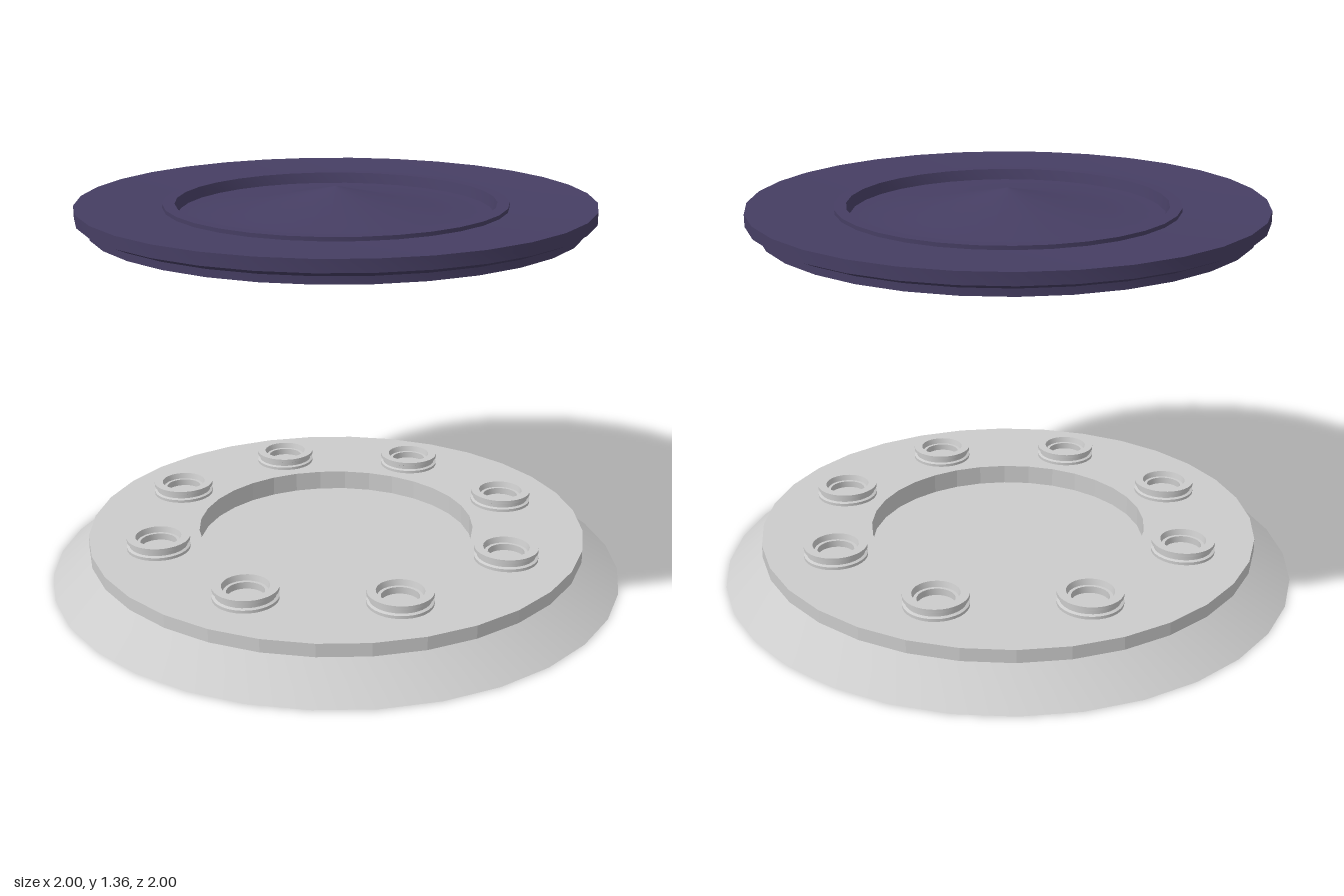
import * as THREE from 'three';
import { toCreasedNormals } from 'three/addons/utils/BufferGeometryUtils.js';

const grey = new THREE.MeshStandardMaterial({ color: 0xcccccc });
const purple = new THREE.MeshStandardMaterial({ color: 0x463e63 });
const green = new THREE.MeshStandardMaterial({ color: 0x667b6b });

// Turned part: profile of [radius, y] running outwards, up, then inwards.
function turned(name, profile, sides, material, crease = 0.15) {
  const points = profile.map(([r, y]) => new THREE.Vector2(r, y));
  const geometry = toCreasedNormals(new THREE.LatheGeometry(points, sides), crease);
  const mesh = new THREE.Mesh(geometry, material);
  mesh.name = name;
  return mesh;
}

export function createModel() {
  const model = new THREE.Group();
  model.name = 'platformWithFloatingLid';

  // Faceted base: sloping skirt, upright rim and raised deck around a sunken floor
  model.add(turned('base', [
    [0, 0], [1, 0], [0.87, 0.1], [0.87, 0.145],
    [0.485, 0.145], [0.485, 0.075], [0, 0.075],
  ], 32, grey));

  // Eight spool-shaped sockets around the deck
  const socketProfile = [
    [0.108, 0.145], [0.108, 0.155], [0.099, 0.159], [0.099, 0.172],
    [0.108, 0.176], [0.108, 0.188], [0.078, 0.188],
    [0.073, 0.168], [0.062, 0.168], [0.062, 0.145],
  ];
  const sockets = new THREE.Group();
  sockets.name = 'sockets';
  for (let i = 0; i < 8; i++) {
    const angle = (i * Math.PI) / 4;
    const socket = turned('socket', socketProfile, 32, grey, 0.5);
    socket.position.set(0.64 * Math.sin(angle), 0, 0.64 * Math.cos(angle));
    sockets.add(socket);
  }
  model.add(sockets);

  // Floating lid: lower lip, chamfered edge, dished top, raised ring and central cone
  const lid = new THREE.Group();
  lid.name = 'lid';
  lid.add(turned('lidShell', [
    [0, 1.25], [0.805, 1.25], [0.805, 1.228], [0.815, 1.228], [0.815, 1.252],
    [0.855, 1.27], [0.855, 1.31], [0.69, 1.3], [0.57, 1.295],
    [0.57, 1.308], [0.53, 1.308], [0.52, 1.272],
    [0.35, 1.272], [0, 1.355],
  ], 32, purple, 0.25));

  // Flat ring set into the underside of the lid
  lid.add(turned('undersideRing', [
    [0.487, 1.25], [0.487, 1.228], [0.805, 1.228],
  ], 32, green, 0.25));
  model.add(lid);

  return model;
}
